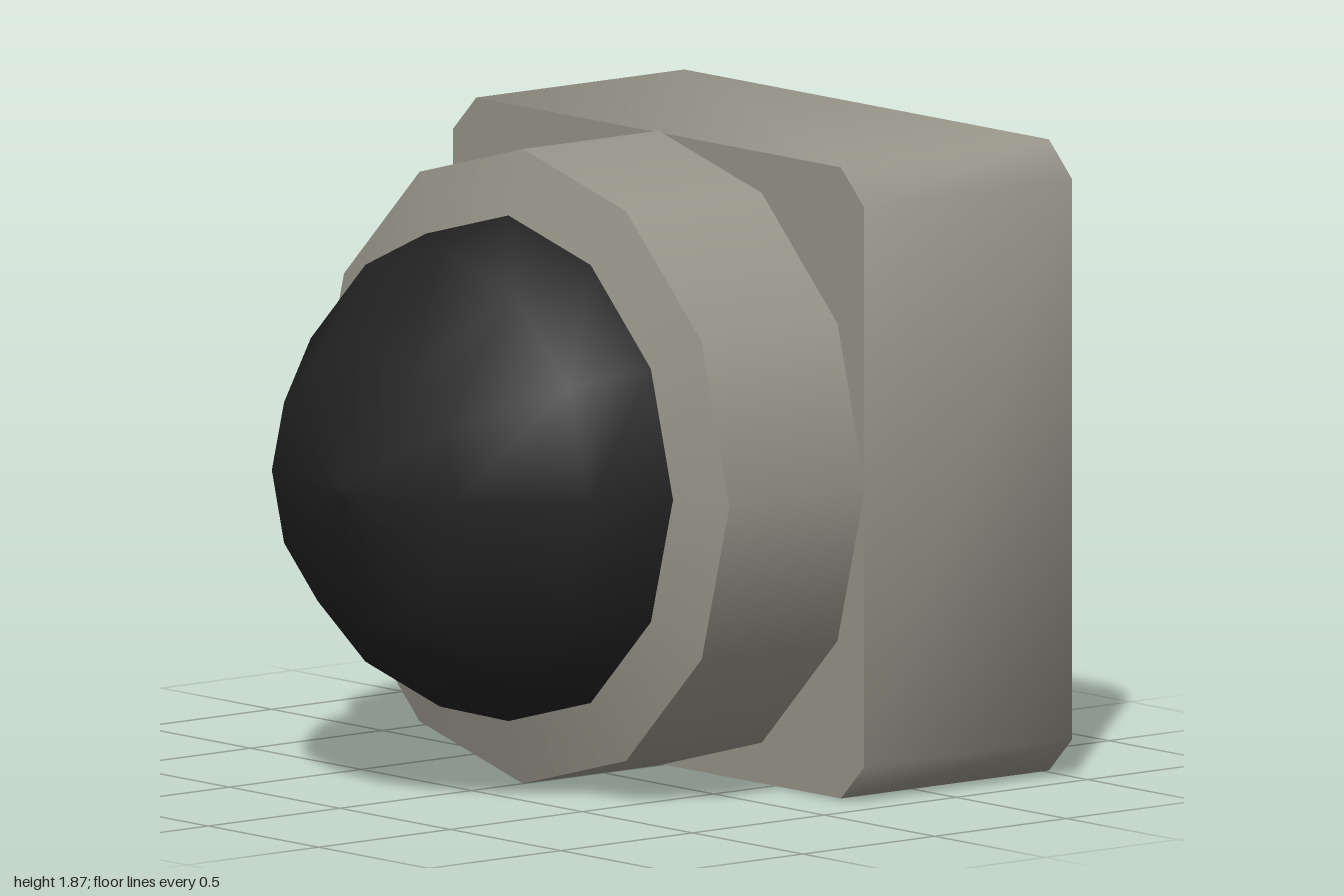
import * as THREE from 'three';
import { toCreasedNormals } from 'three/addons/utils/BufferGeometryUtils.js';

const CENTER_Y = 0.935;

export function createModel() {
  const model = new THREE.Group();
  model.name = 'domeLamp';

  const grey = new THREE.MeshStandardMaterial({ color: 0x99968a });
  grey.name = 'warm grey';
  const black = new THREE.MeshStandardMaterial({ color: 0x222222 });
  black.name = 'black';

  const add = (name, geometry, material) => {
    const mesh = new THREE.Mesh(geometry, material);
    mesh.name = name;
    mesh.position.y = CENTER_Y;
    model.add(mesh);
  };

  // Twelve-sided turned part along z, from [radius, z] pairs running forward
  const turned = (profile) =>
    new THREE.LatheGeometry(profile.map(([r, z]) => new THREE.Vector2(r, z)), 12)
      .rotateX(Math.PI / 2);

  // Square housing with chamfered long edges, shaded softly around the sides
  const h = 0.93, c = 0.825;
  const outline = new THREE.Shape(
    [[c, -h], [h, -c], [h, c], [c, h], [-c, h], [-h, c], [-h, -c], [-c, -h]]
      .map(([x, y]) => new THREE.Vector2(x, y)));
  const housing = new THREE.ExtrudeGeometry(outline, { depth: 0.79, bevelEnabled: false });
  housing.translate(0, 0, -1);
  add('housing', toCreasedNormals(housing, Math.PI / 3), grey);

  // Collar, closed at the back, and its sloping front rim
  add('collarBack', turned([[0, -0.209], [0.935, -0.209]]), grey);
  add('collar', turned([[0.935, -0.21], [0.935, 0.305]]), grey);
  add('collarRim', turned([[0.935, 0.305], [0.745, 0.36]]), grey);

  // Faceted dome with smooth shading
  add('dome', turned([[0.745, 0.36], [0.675, 0.62], [0.415, 0.91], [0, 1]]), black);

  return model;
}
